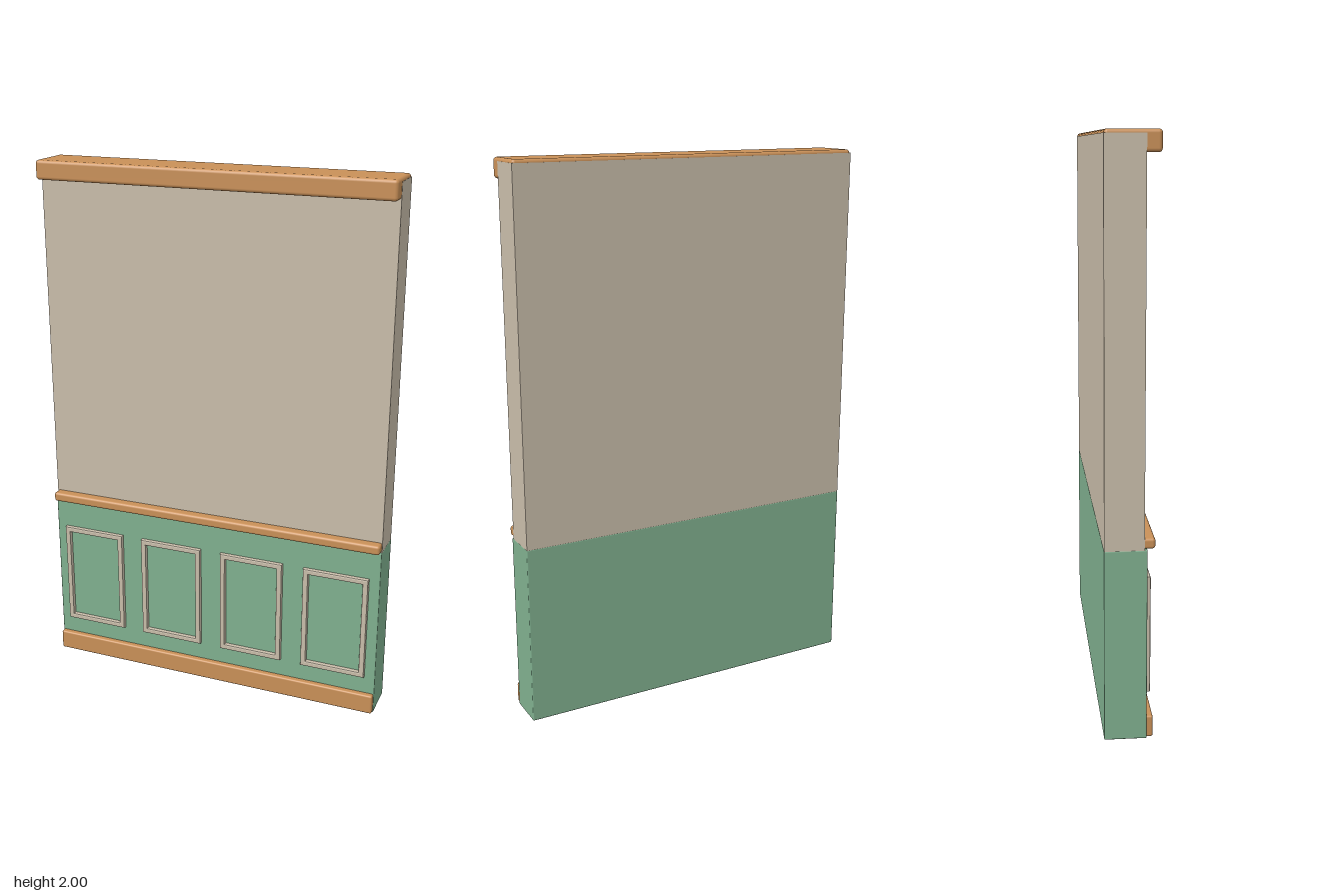
import * as THREE from 'three';
import { RoundedBoxGeometry } from 'three/addons/geometries/RoundedBoxGeometry.js';

const material = (name, color) => {
  const m = new THREE.MeshStandardMaterial({ color });
  m.name = name;
  return m;
};

export function createModel() {
  const group = new THREE.Group();
  const plaster = material('beigePlaster', 0xc9bdaa);
  const green = material('greenPaint', 0x80b08f);
  const wood = material('warmWood', 0xc99058);

  const add = (name, geometry, mat) => {
    const mesh = new THREE.Mesh(geometry, mat);
    mesh.name = name;
    group.add(mesh);
    return mesh;
  };

  // Block spanning the wall width between two heights and two depths
  const slab = (name, mat, halfWidth, y0, y1, z0, z1, radius = 0) => {
    const size = [halfWidth * 2, y1 - y0, z1 - z0];
    const geometry = radius
      ? new RoundedBoxGeometry(...size, 3, radius)
      : new THREE.BoxGeometry(...size);
    geometry.translate(0, (y0 + y1) / 2, (z0 + z1) / 2);
    return add(name, geometry, mat);
  };

  // Wall and lower panelling
  slab('upperWall', plaster, 0.662, 0.66, 1.988, -0.09, 0.042);
  slab('wainscot', green, 0.663, 0, 0.667, -0.091, 0.052, 0.004);

  // Wooden mouldings
  slab('crownMoulding', wood, 0.661, 1.93, 2, -0.0895, 0.091, 0.012);
  slab('chairRail', wood, 0.661, 0.67, 0.706, 0, 0.078, 0.01);
  slab('baseboard', wood, 0.661, 0.004, 0.08, 0, 0.073, 0.007);

  // Raised picture-frame mouldings with bevelled edges
  const rectangle = (path, w, h) => {
    path.moveTo(-w / 2, -h / 2);
    path.lineTo(w / 2, -h / 2);
    path.lineTo(w / 2, h / 2);
    path.lineTo(-w / 2, h / 2);
    path.closePath();
    return path;
  };
  const bevel = 0.005;
  const outline = rectangle(new THREE.Shape(), 0.25 - bevel * 2, 0.41 - bevel * 2);
  outline.holes.push(rectangle(new THREE.Path(), 0.208 + bevel * 2, 0.368 + bevel * 2));
  const frame = new THREE.ExtrudeGeometry(outline, {
    depth: 0.012, bevelEnabled: true, bevelSize: bevel, bevelThickness: bevel, bevelSegments: 2,
  });
  for (let i = 0; i < 4; i++) {
    add('panelFrame' + (i + 1), frame, plaster).position.set((i - 1.5) * 0.332, 0.355, 0.051);
  }

  return group;
}
